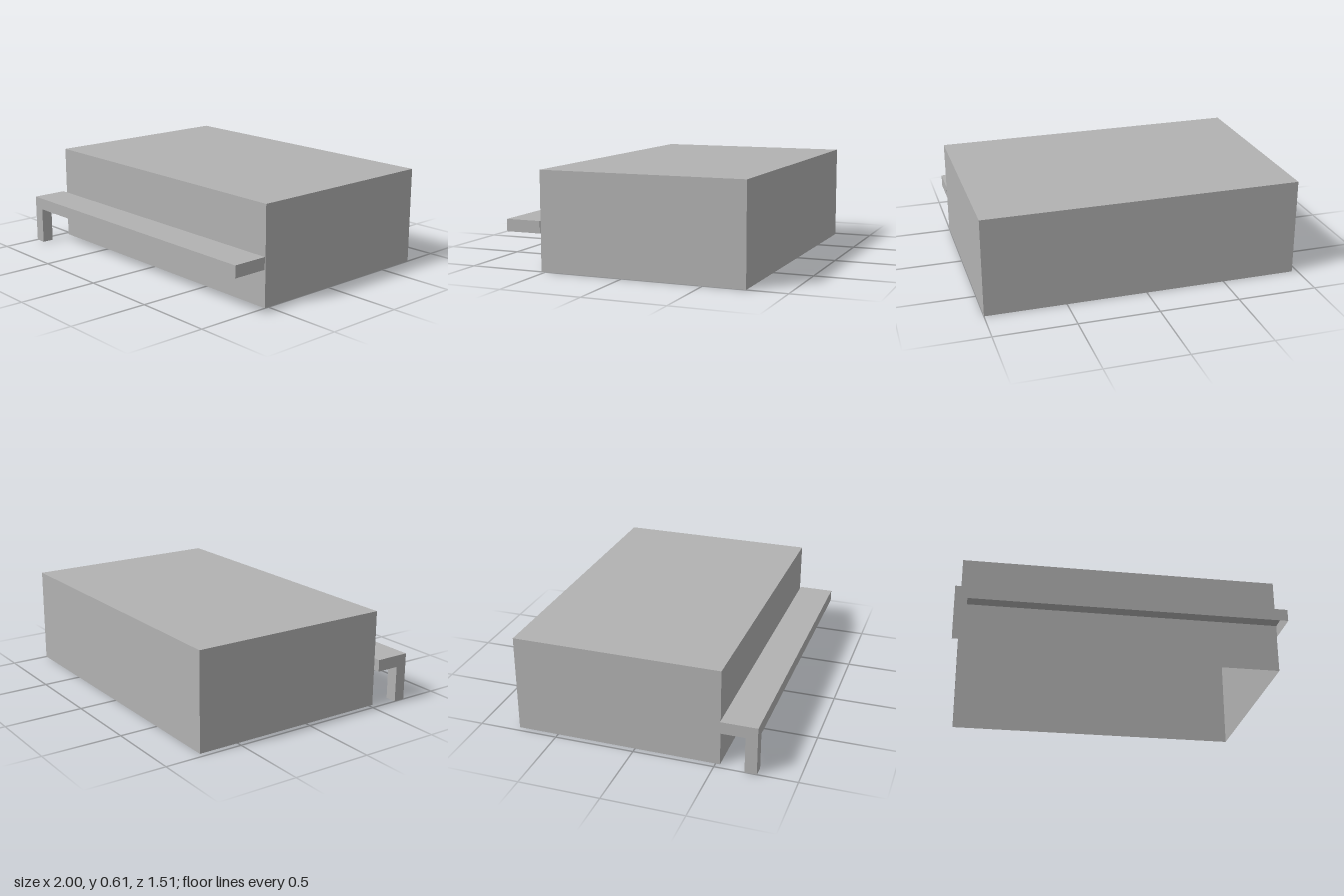
import * as THREE from 'three';

// Sheet box from min to max corners, leaving out the given faces
// (0 +x, 1 -x, 2 +y, 3 -y, 4 +z, 5 -z)
function openBox(name, min, max, openFaces, material) {
  const size = max.map((v, i) => v - min[i]);
  const geometry = new THREE.BoxGeometry(...size);
  const index = Array.from(geometry.index.array);
  geometry.setIndex(index.filter((_, i) => !openFaces.includes(Math.floor(i / 6))));
  geometry.clearGroups();
  geometry.translate(...max.map((v, i) => (v + min[i]) / 2));
  const mesh = new THREE.Mesh(geometry, material);
  mesh.name = name;
  return mesh;
}

export function createModel() {
  const grey = new THREE.MeshStandardMaterial({ color: 0xb2b2b2, side: THREE.DoubleSide });
  grey.name = 'plain grey';

  const model = new THREE.Group();
  model.name = 'buildingWithCanopy';

  // Main block, hollow and open underneath
  model.add(openBox('mainBlock', [-0.965, 0, -0.757], [1, 0.61, 0.527], [3], grey));

  // Canopy along the front, hollow, with one corner post running into it
  const canopy = new THREE.Group();
  canopy.name = 'canopy';
  canopy.add(
    openBox('canopyRoof', [-1, 0.23, 0.533], [1, 0.305, 0.757], [3], grey),
    openBox('canopyPost', [-1, 0, 0.684], [-0.926, 0.23, 0.757], [2, 3], grey),
  );
  model.add(canopy);

  return model;
}
